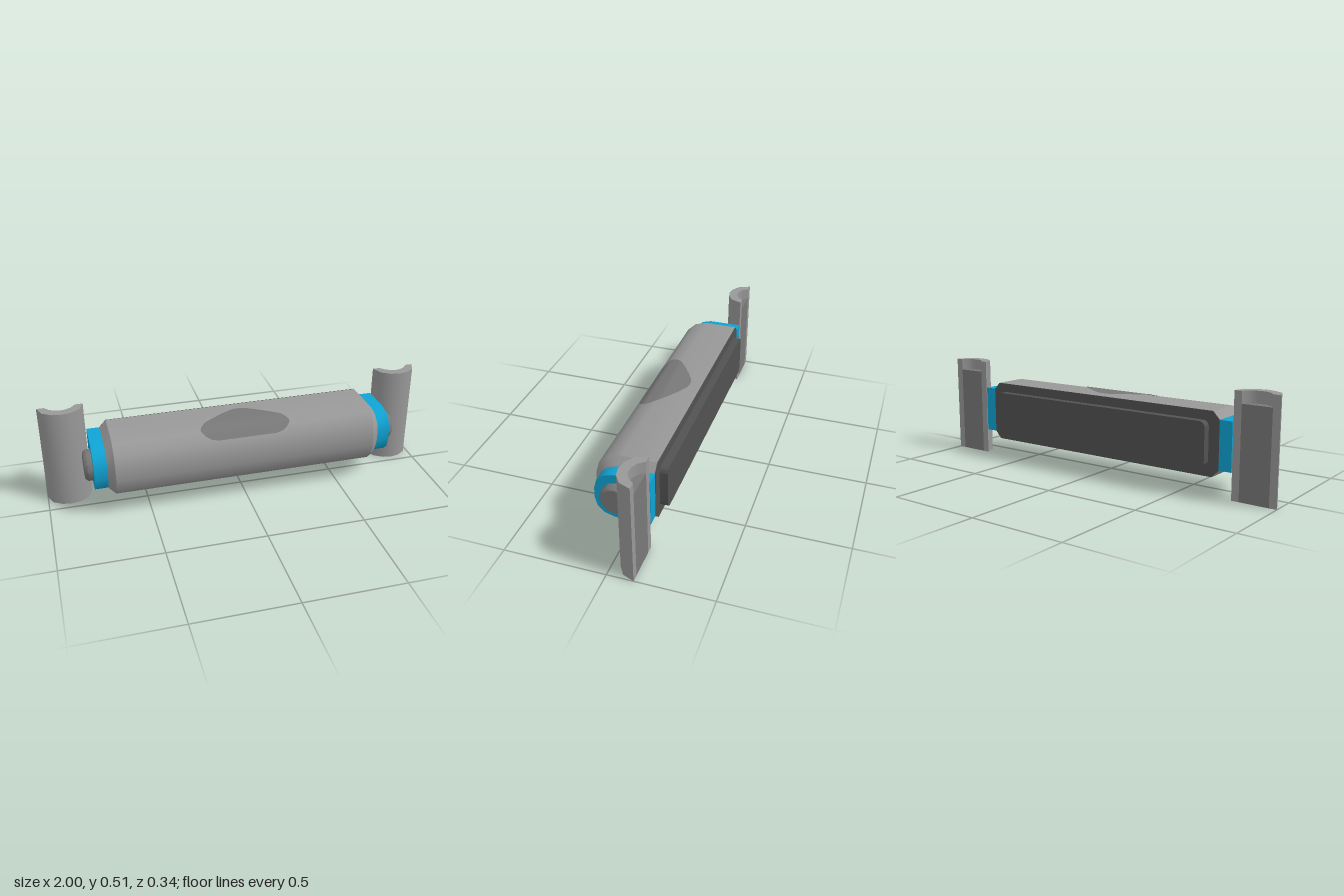
import * as THREE from 'three';
import { toCreasedNormals } from 'three/addons/utils/BufferGeometryUtils.js';

const material = (name, color) => {
  const m = new THREE.MeshStandardMaterial({ color });
  m.name = name;
  return m;
};

const CREASE = 0.7, BACK = -0.127, MID = 0.25;

// Half profiles as [z, height above the middle], mirrored downwards
const mirrorDown = (half) => [...half, ...half.slice().reverse().map(([z, y]) => [z, -y])];
const bodyHalf = [[BACK, 0.156], [0.045, 0.156], [0.108, 0.138], [0.153, 0.094], [0.17, 0.032]];
const bodyProfile = mirrorDown(bodyHalf);
const collarProfile = mirrorDown([[BACK, 0.119], [0.045, 0.119], [0.093, 0.105], [0.127, 0.072], [0.139, 0.026]]);

// Joins convex [z, y] profiles placed along x, with both ends closed
function loft(stations) {
  const n = stations[0].profile.length, pos = [], index = [];
  for (const { x, profile } of stations) for (const [z, y] of profile) pos.push(x, y + MID, z);
  const last = (stations.length - 1) * n;
  for (let s = 0; s < last; s += n) {
    for (let i = 0; i < n; i++) {
      const j = (i + 1) % n;
      index.push(s + i, s + j, s + n + i, s + j, s + n + j, s + n + i);
    }
  }
  for (let i = 1; i < n - 1; i++) index.push(0, i + 1, i, last, last + i, last + i + 1);
  const g = new THREE.BufferGeometry();
  g.setAttribute('position', new THREE.Float32BufferAttribute(pos, 3));
  g.setIndex(index);
  return toCreasedNormals(g, CREASE);
}

// Upper body surface height at a given z
function bodyTop(z) {
  for (let i = 1; i < bodyHalf.length; i++) {
    const [z0, y0] = bodyHalf[i - 1], [z1, y1] = bodyHalf[i];
    if (z <= z1) return MID + y0 + (y1 - y0) * (z - z0) / (z1 - z0);
  }
  return MID;
}

// Thin patch hugging the top of the body, from [z, half width] rows
function patchGeometry() {
  const rows = [[-0.068, 0.018], [-0.06, 0.042], [-0.03, 0.097], [0, 0.142], [0.03, 0.184], [0.045, 0.202],
    [0.07, 0.222], [0.09, 0.23], [0.108, 0.226], [0.125, 0.207], [0.136, 0.185], [0.143, 0.15]];
  const pos = [], index = [];
  rows.forEach(([z, w], i) => {
    const y = bodyTop(z) + 0.003, zz = z > 0.045 ? z + 0.002 : z;
    pos.push(-w, y, zz, w, y, zz);
    if (i) {
      const a = 2 * i - 2;
      index.push(a, a + 2, a + 1, a + 1, a + 2, a + 3);
    }
  });
  const g = new THREE.BufferGeometry();
  g.setAttribute('position', new THREE.Float32BufferAttribute(pos, 3));
  g.setIndex(index);
  g.computeVertexNormals();
  return g;
}

const shapeOf = (pts) => new THREE.Shape(pts.map(([x, y]) => new THREE.Vector2(x, y)));
const mirrorX = (half) => [...half, ...half.slice(0, -1).reverse().map(([x, z]) => [-x, z])];

// Upright prism from [x, z] outline points
function upright(points, height) {
  const g = new THREE.ExtrudeGeometry(shapeOf(points.map(([x, z]) => [x, -z])), { depth: height, bevelEnabled: false });
  g.rotateX(-Math.PI / 2);
  return toCreasedNormals(g, CREASE);
}

// Rounded panel outline
function roundedRect(w, h, r) {
  const s = new THREE.Shape();
  [[w - r, h - r, 0], [r - w, h - r, 1], [r - w, r - h, 2], [w - r, r - h, 3]].forEach(([x, y, q]) =>
    s.absarc(x, y, r, q * Math.PI / 2, (q + 1) * Math.PI / 2, false));
  return s;
}

export function createModel() {
  const root = new THREE.Group();
  const grey = material('light grey', 0x989898);
  const mid = material('mid grey', 0x787878);
  const dark = material('dark grey', 0x525252);
  const blue = material('blue', 0x0fa3d3);
  const add = (name, geometry, mat, parent = root) => {
    const m = new THREE.Mesh(geometry, mat);
    m.name = name;
    parent.add(m);
    return m;
  };

  // Main housing with chamfered ends
  add('body', loft([
    { x: -0.705, profile: collarProfile }, { x: -0.67, profile: bodyProfile },
    { x: 0.67, profile: bodyProfile }, { x: 0.705, profile: collarProfile },
  ]), grey);
  const patch = add('thumbPatch', patchGeometry(), mid);
  patch.material.side = THREE.DoubleSide;

  // Dark back face and raised panel
  const backShape = shapeOf([[0.705, -0.119], [0.705, 0.119], [0.67, 0.156], [-0.67, 0.156],
    [-0.705, 0.119], [-0.705, -0.119], [-0.67, -0.156], [0.67, -0.156]]);
  add('backPlate', new THREE.ExtrudeGeometry(backShape, { depth: 0.003, bevelEnabled: false }), dark)
    .position.set(0, MID, BACK - 0.002);
  const panel = new THREE.ExtrudeGeometry(roundedRect(0.65, 0.11, 0.03),
    { depth: 0.041, bevelEnabled: false, curveSegments: 4 });
  add('backPanel', toCreasedNormals(panel, CREASE), dark).position.set(0, MID, -0.168);

  const outer = mirrorX([[-0.113, BACK], [-0.09, -0.07], [-0.045, -0.041], [0, -0.033]]);
  const inner = mirrorX([[-0.075, BACK], [-0.053, -0.1], [-0.024, -0.084], [0, -0.081]]);

  for (const side of [-1, 1]) {
    const end = new THREE.Group();
    end.name = side > 0 ? 'leftEnd' : 'rightEnd';
    root.add(end);

    // Blue collar
    const xs = [0.7 * side, 0.77 * side].sort((a, b) => a - b);
    add('collar', loft(xs.map((x) => ({ x, profile: collarProfile }))), blue, end);

    // Chamfered pivot hub
    const hub = new THREE.LatheGeometry([[0.078, 0], [0.078, 0.027], [0.065, 0.042], [0, 0.042]]
      .map(([r, y]) => new THREE.Vector2(r, y)), 12);
    const h = add('hub', toCreasedNormals(hub, CREASE), mid, end);
    h.rotation.z = -side * Math.PI / 2;
    h.position.set(0.768 * side, MID, 0.028);

    // Half-round post with a core ending below the rim
    const post = new THREE.Group();
    post.name = 'post';
    post.position.x = 0.887 * side;
    end.add(post);
    add('postShell', upright([...outer, ...inner.slice().reverse()], 0.513), grey, post);
    add('postCore', upright(inner, 0.455), mid, post);
  }
  return root;
}
